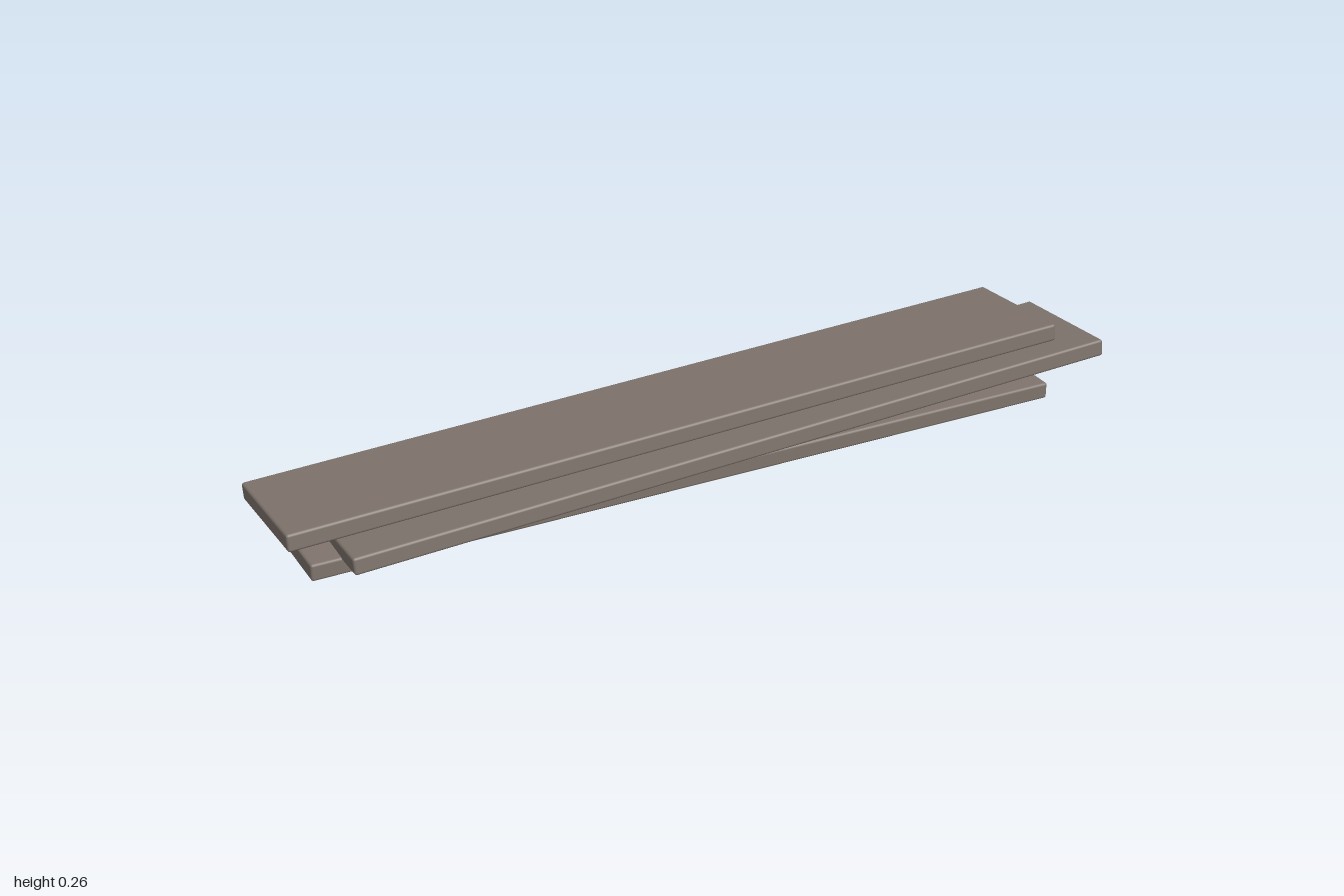
import * as THREE from 'three';
import { RoundedBoxGeometry } from 'three/addons/geometries/RoundedBoxGeometry.js';

// Each plank: centre, rise and sideways drift per unit of length, rise per unit of width
const PLANKS = [
  { name: 'bottomPlank', centre: [0, 0.024, -0.061], rise: -0.002, drift: 0.018, roll: -0.004 },
  { name: 'middlePlank', centre: [0.066, 0.106, 0.041], rise: 0.058, drift: 0.038, roll: 0.086 },
  { name: 'topPlank', centre: [-0.075, 0.190, 0.045], rise: 0.042, drift: 0.032, roll: 0.090 },
];

export function createModel() {
  const group = new THREE.Group();
  group.name = 'plankStack';

  const wood = new THREE.MeshStandardMaterial({ color: 0x7f746d });
  wood.name = 'weathered wood';

  // Shared board with softly eased edges
  const board = new RoundedBoxGeometry(1.85, 0.04, 0.305, 2, 0.006);

  for (const { name, centre, rise, drift, roll } of PLANKS) {
    const along = new THREE.Vector3(1, rise, drift).normalize();
    const up = new THREE.Vector3(0, roll, 1).cross(along).normalize();
    const across = new THREE.Vector3().crossVectors(along, up);

    const plank = new THREE.Mesh(board, wood);
    plank.name = name;
    plank.quaternion.setFromRotationMatrix(new THREE.Matrix4().makeBasis(along, up, across));
    plank.position.set(...centre);
    group.add(plank);
  }
  return group;
}
